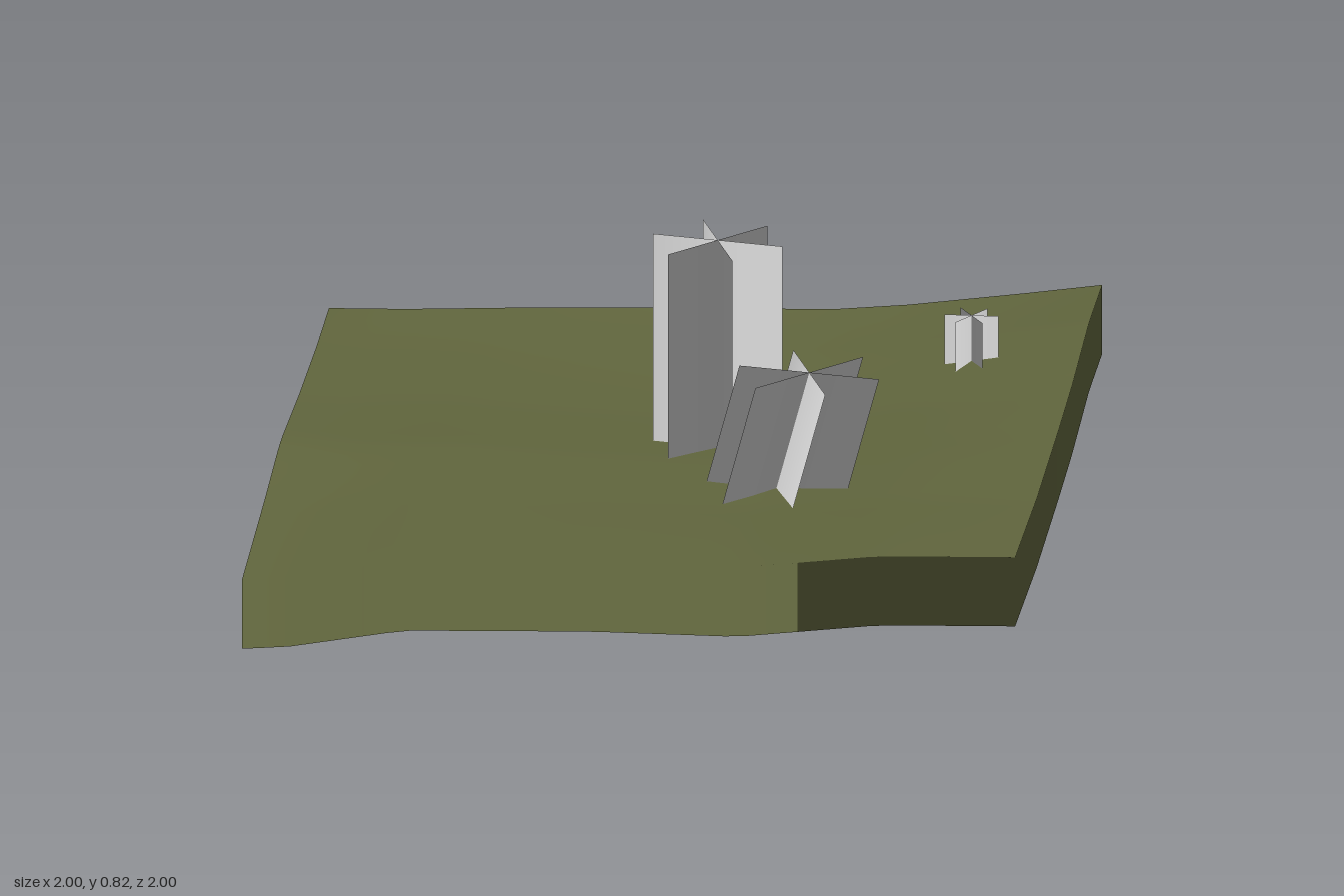
import * as THREE from 'three';

const SKIRT = 0.187;
const SEGMENTS = 32;

// Surface heights along the four borders, as [position, height]
const frontEdge = [[-1, 0.19], [-0.88, 0.2], [-0.58, 0.255], [-0.1, 0.27], [0.28, 0.27], [0.65, 0.315], [1, 0.325]];
const backEdge = [[-1, 0.265], [-0.8, 0.27], [-0.5, 0.285], [-0.1, 0.3], [0.3, 0.31], [0.5, 0.33], [0.8, 0.372], [1, 0.402]];
const leftEdge = [[-1, 0.402], [-0.7, 0.4], [-0.3, 0.357], [0, 0.34], [0.5, 0.32], [1, 0.325]];
const rightEdge = [[-1, 0.265], [-0.7, 0.255], [-0.3, 0.258], [0.1, 0.273], [0.2, 0.265], [0.47, 0.235], [1, 0.19]];

function sample(edge, t) {
  for (let i = 1; i < edge.length; i++) {
    const [a, ha] = edge[i - 1];
    const [b, hb] = edge[i];
    if (t <= b) return THREE.MathUtils.lerp(ha, hb, (t - a) / (b - a));
  }
  return edge[edge.length - 1][1];
}

// Blend the four borders into one rolling surface with a shallow hollow
function groundHeight(x, z) {
  const u = (x + 1) / 2, v = (z + 1) / 2, mix = THREE.MathUtils.lerp;
  const alongZ = mix(sample(backEdge, x), sample(frontEdge, x), v);
  const alongX = mix(sample(rightEdge, z), sample(leftEdge, z), u);
  const corners = mix(mix(0.265, 0.402, u), mix(0.19, 0.325, u), v);
  const hollow = (0.035 - 0.04 * z) * (1 - x * x) * (1 - z * z);
  return alongZ + alongX - corners - hollow;
}

// Open-bottomed terrain sheet; its outermost ring folds down into a skirt
function makeGround(material) {
  const size = 2 + 4 / SEGMENTS;
  const geometry = new THREE.PlaneGeometry(size, size, SEGMENTS + 2, SEGMENTS + 2).rotateX(-Math.PI / 2);
  const p = geometry.attributes.position;
  const n = geometry.attributes.normal;
  const normal = new THREE.Vector3();
  const step = 0.06;
  for (let i = 0; i < p.count; i++) {
    const x = THREE.MathUtils.clamp(p.getX(i), -1, 1);
    const z = THREE.MathUtils.clamp(p.getZ(i), -1, 1);
    const isSkirt = Math.max(Math.abs(p.getX(i)), Math.abs(p.getZ(i))) > 1.01;
    p.setXYZ(i, x, Math.max(0, groundHeight(x, z) - (isSkirt ? SKIRT : 0)), z);

    // The skirt shares the smooth normals of the surface above it
    const x0 = Math.max(-1, x - step), x1 = Math.min(1, x + step);
    const z0 = Math.max(-1, z - step), z1 = Math.min(1, z + step);
    normal.set(
      (groundHeight(x0, z) - groundHeight(x1, z)) / (x1 - x0), 1,
      (groundHeight(x, z0) - groundHeight(x, z1)) / (z1 - z0)).normalize();
    n.setXYZ(i, normal.x, normal.y, normal.z);
  }
  const ground = new THREE.Mesh(geometry, material);
  ground.name = 'ground';
  return ground;
}

// Three upright crossing panels, optionally leaning, with soft upward normals
function makePlant({ name, x, z, top, bottom, radius, angle, lean = [0, 0] }, material) {
  const plant = new THREE.Group();
  plant.name = name;
  for (let k = 0; k < 3; k++) {
    const geometry = new THREE.PlaneGeometry(2 * radius, top - bottom, 2, 1);
    geometry.translate(0, (bottom - top) / 2, 0);
    geometry.rotateY(-THREE.MathUtils.degToRad(angle + 60 * k));
    const p = geometry.attributes.position;
    const normal = new THREE.Vector3();
    for (let i = 0; i < p.count; i++) {
      normal.set(p.getX(i) / radius * 0.4, 1, p.getZ(i) / radius * 0.4).normalize();
      geometry.attributes.normal.setXYZ(i, normal.x, normal.y, normal.z);
      p.setX(i, p.getX(i) + lean[0] * p.getY(i));
      p.setZ(i, p.getZ(i) + lean[1] * p.getY(i));
    }
    const panel = new THREE.Mesh(geometry, material);
    panel.name = 'panel';
    plant.add(panel);
  }
  plant.position.set(x, top, z);
  return plant;
}

export function createModel() {
  const grass = new THREE.MeshStandardMaterial({ color: 0x5f643c, side: THREE.DoubleSide });
  grass.name = 'olive grass';
  const grey = new THREE.MeshStandardMaterial({ color: 0xc4c4c4, side: THREE.DoubleSide });
  grey.name = 'light grey';

  const model = new THREE.Group();
  model.name = 'groundPatch';
  model.add(makeGround(grass));

  const plants = [
    { name: 'tallPlant', x: 0.118, z: -0.003, top: 0.82, bottom: 0.24, radius: 0.174, angle: 11 },
    { name: 'leaningPlant', x: 0.395, z: 0.355, top: 0.59, bottom: 0.24, radius: 0.188, angle: 11, lean: [0.27, 0.08] },
    { name: 'smallPlant', x: 0.712, z: -0.558, top: 0.455, bottom: 0.305, radius: 0.07, angle: 0 },
    { name: 'tinyPlant', x: 0.045, z: -0.878, top: 0.357, bottom: 0.285, radius: 0.048, angle: 19 },
  ];
  for (const plant of plants) model.add(makePlant(plant, grey));
  return model;
}
